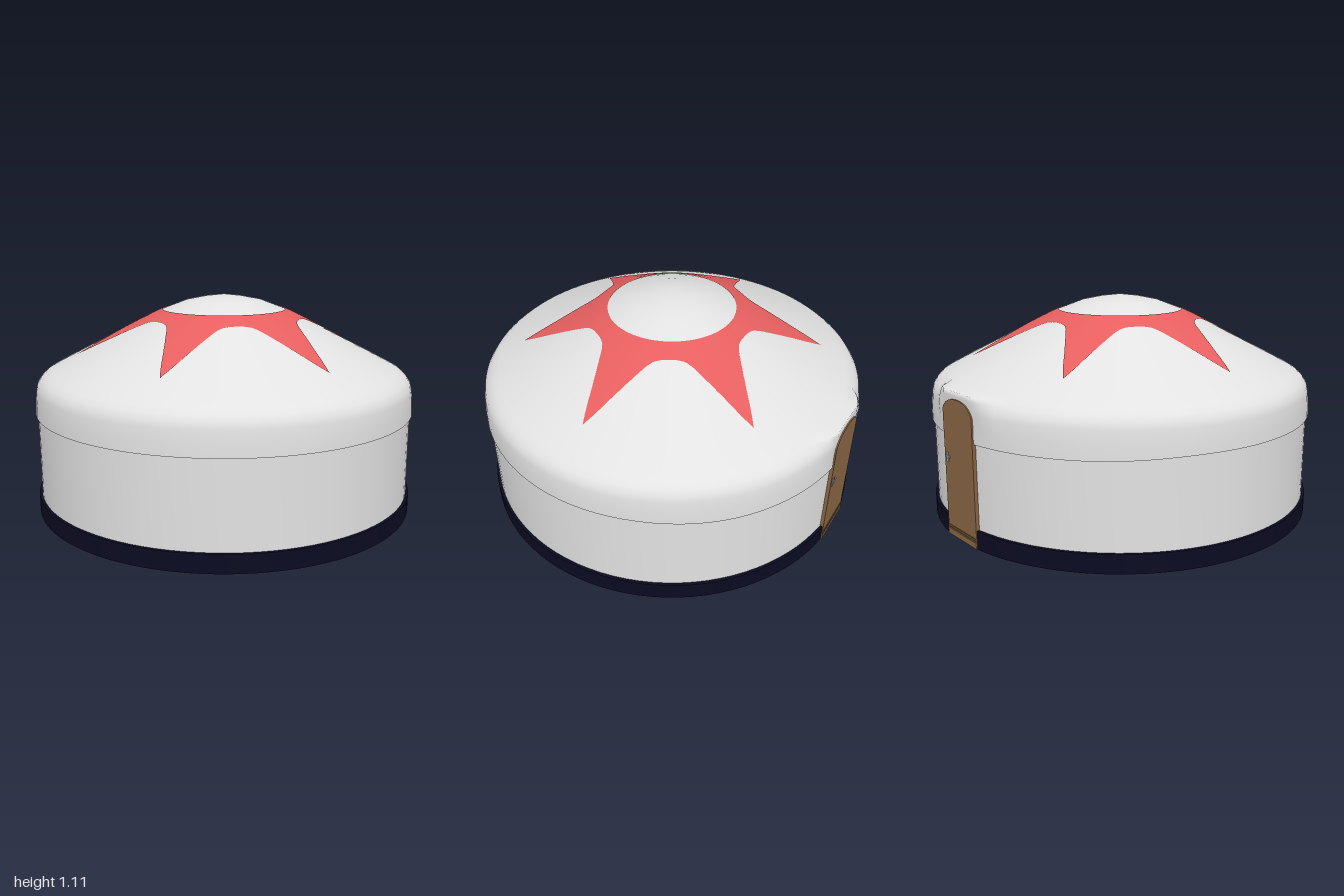
import * as THREE from 'three';
import { mergeVertices } from 'three/addons/utils/BufferGeometryUtils.js';

const { smoothstep, lerp } = THREE.MathUtils;
const SEGMENTS = 96;
const BACK = -0.986; // the round plan is cut flat here for the door

// Roof height profile, eave to apex: [radius, y]
const ROOF = [
  [0.994, 0.52], [0.992, 0.58], [0.986, 0.64], [0.978, 0.67], [0.96, 0.696], [0.935, 0.718],
  [0.905, 0.735], [0.8, 0.79], [0.6, 0.892], [0.4, 0.996], [0.327, 1.03], [0.2, 1.078], [0.1, 1.098], [0, 1.11],
];

// Star outline: [degrees from a tip, radius]
const STAR = [[0, 0.775], [2.5, 0.7], [5.4, 0.62], [9, 0.55], [12.3, 0.5], [16, 0.455], [20, 0.427], [25, 0.416], [30, 0.414]];

function sample(table, t) {
  for (let i = 1; i < table.length; i++) {
    const [a, va] = table[i - 1], [b, vb] = table[i];
    if ((t - a) * (t - b) <= 0) return lerp(va, vb, (t - a) / (b - a));
  }
  return table[table.length - 1][1];
}

// Moves every vertex by a rule, then rebuilds smooth normals without a seam
function reshape(geometry, rule) {
  geometry.deleteAttribute('uv');
  geometry.deleteAttribute('normal');
  const g = mergeVertices(geometry, 1e-5);
  const p = g.attributes.position;
  const v = new THREE.Vector3();
  for (let i = 0; i < p.count; i++) {
    rule(v.fromBufferAttribute(p, i));
    p.setXYZ(i, v.x, v.y, v.z);
  }
  g.computeVertexNormals();
  return g;
}

const flattenBack = (limit) => (v) => { v.z = Math.max(v.z, limit); };

// Pulls the roof shoulder out over the door and lets the eave dip towards the back
function shapeRoof(v) {
  const r = Math.hypot(v.x, v.z);
  if (v.z < 0 && v.y > 0.6 && r > 0.92) {
    const w = 1 - smoothstep(Math.abs(v.x), 0.12, 0.27);
    v.z = lerp(v.z, BACK, w);
    v.y += 0.006 * w;
  }
  if (v.y < 0.53) v.y -= 0.013 * smoothstep(-v.z, 0.3, 0.8);
  v.z = Math.max(v.z, BACK);
}

function lathe(profile, rule) {
  const points = profile.map(([r, y]) => new THREE.Vector2(r, y));
  return reshape(new THREE.LatheGeometry(points, SEGMENTS), rule);
}

// Star painted on the roof: rings between the crown circle and the star outline
function starGeometry() {
  const around = 240, rings = 10, positions = [], index = [];
  for (let i = 0; i <= around; i++) {
    const degrees = (i / around) * 360;
    const fold = Math.abs(((degrees + 30) % 60) - 30);
    const outer = sample(STAR, fold), a = THREE.MathUtils.degToRad(degrees);
    for (let j = 0; j <= rings; j++) {
      const r = lerp(0.325, outer, j / rings);
      positions.push(r * Math.cos(a), sample(ROOF, r) + 0.004, r * Math.sin(a));
      if (i < around && j < rings) {
        const k = i * (rings + 1) + j, n = k + rings + 1;
        index.push(k, n, k + 1, n, n + 1, k + 1);
      }
    }
  }
  const g = new THREE.BufferGeometry();
  g.setAttribute('position', new THREE.Float32BufferAttribute(positions, 3));
  g.setIndex(index);
  g.computeVertexNormals();
  return g;
}

export function createModel() {
  const model = new THREE.Group();
  const material = (name, color, side = THREE.FrontSide) => {
    const m = new THREE.MeshStandardMaterial({ color, side });
    m.name = name;
    return m;
  };
  const canvas = material('white canvas', 0xe2e2e2, THREE.DoubleSide);
  const red = material('red star', 0xe96060, THREE.DoubleSide);
  const navy = material('navy base', 0x0b0b22, THREE.DoubleSide);
  const wood = material('brown wood', 0x8a6745);
  const darkWood = material('dark wood', 0x6b4d32);
  const metal = material('grey metal', 0xa8a8a8);

  const add = (name, geometry, mat, parent = model) => {
    const mesh = new THREE.Mesh(geometry, mat);
    mesh.name = name;
    parent.add(mesh);
    return mesh;
  };
  const box = (name, size, position, mat, parent) =>
    add(name, new THREE.BoxGeometry(...size), mat, parent).position.set(...position);

  // Floor, base band and wall
  const disc = new THREE.CircleGeometry(0.998, SEGMENTS).rotateX(Math.PI / 2);
  add('floor', reshape(disc, flattenBack(-0.988)), wood);
  add('baseBand', lathe([[0.998, 0], [0.998, 0.092]], flattenBack(-0.988)), navy);
  add('baseLedge', lathe([[0.998, 0.092], [0.97, 0.092]], flattenBack(-0.988)), navy);
  add('wall', lathe([[0.983, 0.08], [0.983, 0.56]], flattenBack(-0.981)), canvas);

  // Roof with its eave and the painted star
  add('roof', lathe(ROOF, shapeRoof), canvas);
  add('eaveUnderside', lathe([[0.975, 0.52], [0.994, 0.52]], shapeRoof), canvas);
  add('roofStar', starGeometry(), red);

  // Arched door at the back
  const door = new THREE.Group();
  door.name = 'door';
  model.add(door);
  const arch = new THREE.Shape();
  arch.moveTo(-0.13, 0.002);
  arch.lineTo(0.13, 0.002);
  arch.lineTo(0.13, 0.63);
  arch.quadraticCurveTo(0.1, 0.69, 0, 0.69);
  arch.quadraticCurveTo(-0.1, 0.69, -0.13, 0.63);
  const panel = new THREE.ExtrudeGeometry(arch, { depth: 0.022, bevelEnabled: false, curveSegments: 8 });
  add('doorPanel', panel.translate(0, 0, -0.992), wood, door);
  box('threshold', [0.26, 0.012, 0.006], [0, 0.045, -0.992], darkWood, door);
  box('doorStep', [0.26, 0.03, 0.006], [0, 0.017, -0.992], wood, door);
  box('lockPlate', [0.018, 0.05, 0.004], [0.105, 0.395, -0.993], metal, door);
  box('doorHandle', [0.04, 0.009, 0.005], [0.095, 0.4, -0.9975], metal, door);

  return model;
}
